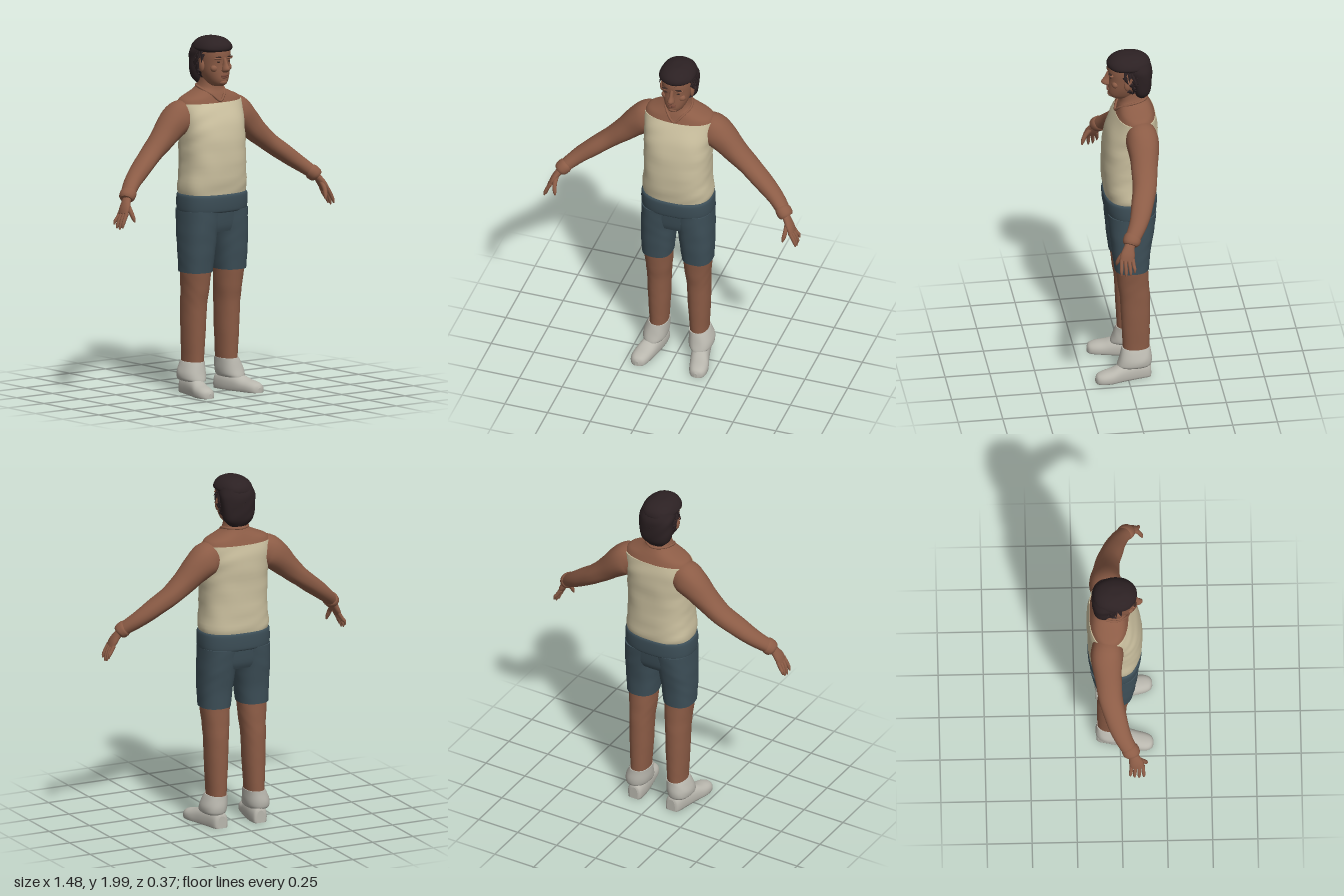
import * as THREE from 'three';

const mat = (name, color) => {
  const m = new THREE.MeshStandardMaterial({ color });
  m.name = name;
  return m;
};
const V = (x, y, z) => new THREE.Vector3(x, y, z);

// Smoothly subdivide rows of section numbers
function refine(rows, k = 4) {
  const out = [];
  for (let i = 0; i < rows.length - 1; i++) {
    const a = rows[Math.max(i - 1, 0)], b = rows[i], c = rows[i + 1], d = rows[Math.min(i + 2, rows.length - 1)];
    for (let s = 0; s < k; s++) {
      const t = s / k;
      out.push(b.map((_, n) => {
        const m0 = (c[n] - a[n]) / 2, m1 = (d[n] - b[n]) / 2;
        return b[n] + m0 * t + (3 * (c[n] - b[n]) - 2 * m0 - m1) * t * t + (2 * (b[n] - c[n]) + m0 + m1) * t * t * t;
      }));
    }
  }
  out.push(rows[rows.length - 1]);
  return out;
}

// Skin a closed surface over frames {c, u, v}; p shapes the oval, wob adds folds
function loft(frames, { p = 2, n = 28, wob = 0, floor = -1 } = {}) {
  const pos = [], idx = [];
  const bend = (t) => Math.sign(t) * Math.abs(t) ** (2 / p);
  const addRing = (f) => {
    for (let j = 0; j < n; j++) {
      const a = (j / n) * Math.PI * 2;
      const w = 1 + wob * Math.sin(f.c.y * 55 + 2 * Math.sin(a * 2 + f.c.y * 9)) * Math.cos(a * 3 + f.c.y * 14);
      const q = f.c.clone().addScaledVector(f.u, bend(Math.cos(a)) * w).addScaledVector(f.v, bend(Math.sin(a)) * w);
      pos.push(q.x, Math.max(q.y, floor), q.z);
    }
  };
  frames.forEach(addRing);
  for (let i = 0; i < frames.length - 1; i++) for (let j = 0; j < n; j++) {
    const a = i * n + j, b = i * n + (j + 1) % n;
    idx.push(a, a + n, b, b, a + n, b + n);
  }
  [frames[0], frames[frames.length - 1]].forEach((f, end) => {
    const s = pos.length / 3;
    addRing(f);
    pos.push(f.c.x, f.c.y, f.c.z);
    for (let j = 0; j < n; j++) {
      const a = s + j, b = s + (j + 1) % n;
      end ? idx.push(s + n, b, a) : idx.push(s + n, a, b);
    }
  });
  const g = new THREE.BufferGeometry();
  g.setAttribute('position', new THREE.Float32BufferAttribute(pos, 3));
  g.setIndex(idx);
  g.computeVertexNormals();
  return g;
}
// Upright body: rows of [y, xMin, xMax, zMin, zMax]
const upright = (rows, opt) => loft(refine(rows).map(([y, x0, x1, z0, z1]) => ({
  c: V((x0 + x1) / 2, y, (z0 + z1) / 2), u: V((x1 - x0) / 2, 0, 0), v: V(0, 0, (z1 - z0) / 2),
})), opt);
// Centred upright body: rows of [y, halfWidth, zMin, zMax]
const centred = (rows, opt) => upright(rows.map(([y, w, a, b]) => [y, -w, w, a, b]), opt);
// Limb along a path: rows of [x, y, z, radius, depthRadius]
function limb(rows, opt) {
  const r = refine(rows);
  return loft(r.map((s, i) => {
    const a = r[Math.max(i - 1, 0)], b = r[Math.min(i + 1, r.length - 1)];
    const d = V(b[0] - a[0], b[1] - a[1], b[2] - a[2]).normalize();
    const v = V(0, 0, 1).addScaledVector(d, -d.z).normalize();
    return { c: V(s[0], s[1], s[2]), u: d.clone().cross(v).multiplyScalar(s[3]), v: v.multiplyScalar(s[4]) };
  }), opt);
}
const ball = (x, y, z, rx, ry, rz) => new THREE.SphereGeometry(1, 16, 12).scale(rx, ry, rz).translate(x, y, z);
function mirrored(geo) {
  const g = geo.clone().scale(-1, 1, 1), ix = g.index.array;
  for (let i = 0; i < ix.length; i += 3) [ix[i], ix[i + 1]] = [ix[i + 1], ix[i]];
  return g;
}

export function createModel() {
  const root = new THREE.Group();
  const skin = mat('skin', 0x8c5c46), shirt = mat('cream shirt', 0xcbc09f), shorts = mat('slate shorts', 0x3d4f58);
  const hair = mat('dark hair', 0x2c2123), white = mat('off white', 0xb9b7ae);
  const lip = mat('lip', 0x754839), eye = mat('eye', 0x3a2822);
  const add = (name, geo, m) => {
    const mesh = new THREE.Mesh(geo, m);
    mesh.name = name;
    root.add(mesh);
  };
  const pair = (name, geo, m) => {
    add('left' + name, geo, m);
    add('right' + name, mirrored(geo), m);
  };

  // Torso, shoulders and neck
  add('shirt', centred([[1.1, .188, -.165, .108], [1.15, .2, -.176, .116], [1.25, .19, -.176, .126], [1.38, .19, -.177, .122],
    [1.48, .192, -.182, .11], [1.56, .198, -.182, .083], [1.628, .2, -.17, .05]], { p: 2.5, n: 48, wob: .012 }), shirt);
  add('shouldersAndNeck', centred([[1.625, .2, -.169, .05], [1.652, .182, -.158, .04], [1.675, .13, -.148, .032],
    [1.7, .08, -.135, .022], [1.73, .063, -.12, .018], [1.78, .058, -.11, .015]], { p: 2.3, n: 40 }), skin);
  const collar = new THREE.CatmullRomCurve3([V(0, 1.637, .05), V(.04, 1.672, .032), V(.074, 1.705, -.03), V(.055, 1.715, -.1),
    V(0, 1.715, -.128), V(-.055, 1.715, -.1), V(-.074, 1.705, -.03), V(-.04, 1.672, .032)], true);
  add('collar', new THREE.TubeGeometry(collar, 48, .007, 8, true), skin);

  // Shorts
  add('waistband', centred([[1.02, .196, -.165, .105], [1.03, .204, -.174, .114], [1.07, .206, -.178, .12],
    [1.11, .204, -.178, .121], [1.122, .198, -.172, .114]], { p: 2.5, n: 40 }), shorts);
  add('shortsSeat', centred([[.91, .185, -.138, .08], [.95, .2, -.155, .093], [1.04, .2, -.168, .106]], { p: 2.5, n: 40 }), shorts);
  pair('ShortsLeg', upright([[.685, .03, .203, -.122, .07], [.76, .022, .206, -.127, .08], [.84, .013, .207, -.138, .088],
    [.92, .002, .206, -.152, .096], [1.03, -.03, .203, -.167, .105]], { p: 2.4, wob: .008 }), shorts);

  // Legs, socks and shoes
  pair('Leg', upright([[.12, .07, .168, -.125, .02], [.2, .065, .17, -.126, .024], [.35, .056, .177, -.128, .032],
    [.5, .05, .181, -.128, .04], [.6, .04, .187, -.122, .054], [.7, .032, .198, -.117, .065]], { p: 2.2, wob: .012 }), skin);
  pair('Sock', upright([[.075, .078, .192, -.126, .058], [.088, .068, .201, -.134, .056], [.12, .063, .2, -.136, .046],
    [.16, .062, .184, -.132, .034], [.18, .062, .174, -.13, .028]], { p: 2.3, wob: .012 }), white);
  const shoe = refine([[-.132, .12, .025, .07], [-.118, .122, .042, .09], [-.05, .13, .05, .1], [.03, .146, .053, .09],
    [.09, .162, .055, .068], [.14, .17, .05, .058], [.172, .172, .035, .046], [.184, .172, .01, .028]]);
  pair('Shoe', loft(shoe.map(([z, x, w, h]) => ({ c: V(x, h * .3, z), u: V(-w, 0, 0), v: V(0, h * .7, 0) })),
    { p: 2.3, floor: 0 }), white);

  // Arms with gathered wrists
  pair('Arm', limb([[.1, 1.555, -.068, .07, .07], [.17, 1.555, -.072, .093, .086], [.22, 1.53, -.075, .088, .09],
    [.3, 1.455, -.07, .07, .076], [.4, 1.366, -.058, .054, .067], [.5, 1.29, -.028, .049, .06],
    [.58, 1.228, .005, .042, .05], [.635, 1.182, .04, .036, .043], [.655, 1.162, .054, .034, .04]], { p: 2.1, wob: .02 }), skin);
  pair('Cuff', limb([[.628, 1.188, .036, .036, .043], [.638, 1.179, .044, .042, .049], [.655, 1.162, .055, .041, .047],
    [.664, 1.152, .06, .033, .038]]), skin);

  // Hands
  pair('Palm', limb([[.645, 1.172, .052, .02, .028], [.668, 1.142, .066, .02, .03], [.69, 1.105, .078, .019, .04],
    [.705, 1.075, .084, .014, .038]], { n: 16 }), skin);
  [[.052, .045, 1.015], [.073, .068, .997], [.094, .093, .992], [.114, .119, 1.003]].forEach(([z0, z1, y], i) =>
    pair('Finger' + (i + 1), limb([[.698, 1.085, z0, .011, .011], [.718, 1.05, (z0 + z1) / 2, .0105, .0105],
      [.73, y + .02, z1, .009, .009], [.735, y, z1, .004, .004]], { n: 10 }), skin));
  pair('Thumb', limb([[.675, 1.125, .085, .015, .015], [.675, 1.09, .115, .013, .013], [.669, 1.055, .132, .011, .011],
    [.664, 1.032, .138, .004, .004]], { n: 10 }), skin);

  // Head and face
  add('head', centred([[1.722, .028, -.03, .062], [1.735, .045, -.07, .08], [1.76, .06, -.095, .09], [1.8, .074, -.11, .089],
    [1.85, .082, -.125, .086], [1.9, .085, -.13, .09], [1.94, .08, -.12, .082], [1.975, .055, -.09, .05]], { p: 2.2, n: 36 }), skin);
  add('nose', centred([[1.802, .01, .07, .098], [1.812, .02, .07, .12], [1.826, .019, .07, .128], [1.85, .012, .07, .112],
    [1.885, .01, .07, .095]], { n: 16 }), skin);
  add('chin', ball(0, 1.747, .07, .028, .018, .022), skin);
  add('upperLip', ball(0, 1.785, .088, .026, .006, .01), lip);
  add('lowerLip', ball(0, 1.775, .089, .022, .006, .009), lip);
  pair('BrowRidge', ball(.034, 1.882, .076, .03, .009, .015), skin);
  pair('Eyebrow', ball(.036, 1.889, .082, .022, .004, .01), eye);
  pair('Eye', ball(.033, 1.862, .078, .013, .0045, .005), eye);
  pair('Cheek', ball(.045, 1.825, .055, .025, .022, .02), skin);
  pair('Ear', ball(.087, 1.835, -.008, .012, .034, .02), skin);

  // Hair shell, then overlapping locks following the scalp
  add('hairBack', centred([[1.725, .05, -.122, -.06], [1.76, .084, -.143, -.045], [1.81, .097, -.153, -.03],
    [1.87, .1, -.155, -.012], [1.91, .102, -.153, .01], [1.95, .09, -.14, .03]], { p: 2.3, wob: .025 }), hair);
  add('hairTop', centred([[1.915, .088, -.145, .084], [1.93, .102, -.15, .094], [1.955, .093, -.14, .09],
    [1.978, .07, -.112, .066], [1.992, .035, -.07, .03], [1.994, .01, -.04, .0]], { p: 2.2, wob: .02 }), hair);
  const locks = new THREE.Group();
  locks.name = 'hairLocks';
  let seed = 7;
  const rnd = () => (seed = (seed * 16807) % 2147483647) / 2147483647;
  const lockGeo = new THREE.ConeGeometry(.015, .05, 6).scale(1, 1, .55);
  for (let i = 0; i < 260; i++) {
    const h = 1 - 1.95 * (i + .5) / 260, a = i * 2.39996, r = Math.sqrt(1 - h * h);
    const d = V(Math.cos(a) * r, h, Math.sin(a) * r);
    const c = V(d.x * .099, 1.865 + d.y * .122, -.03 + d.z * .12);
    if (c.z > -.03 && c.y < 1.925 && !(c.z < .012 && c.y > 1.86)) continue;
    if (c.y < 1.755) continue;
    const fall = V((rnd() - .5) * .8, -1, (rnd() - .5) * .8 - .2);
    fall.addScaledVector(d, -fall.dot(d)).normalize().addScaledVector(d, .15 + rnd() * .2).normalize();
    const side = fall.clone().cross(d).normalize();
    const lock = new THREE.Mesh(lockGeo, hair);
    lock.name = 'hairLock';
    lock.quaternion.setFromRotationMatrix(new THREE.Matrix4().makeBasis(side, fall, side.clone().cross(fall)));
    lock.position.copy(c);
    locks.add(lock);
  }
  root.add(locks);
  return root;
}
